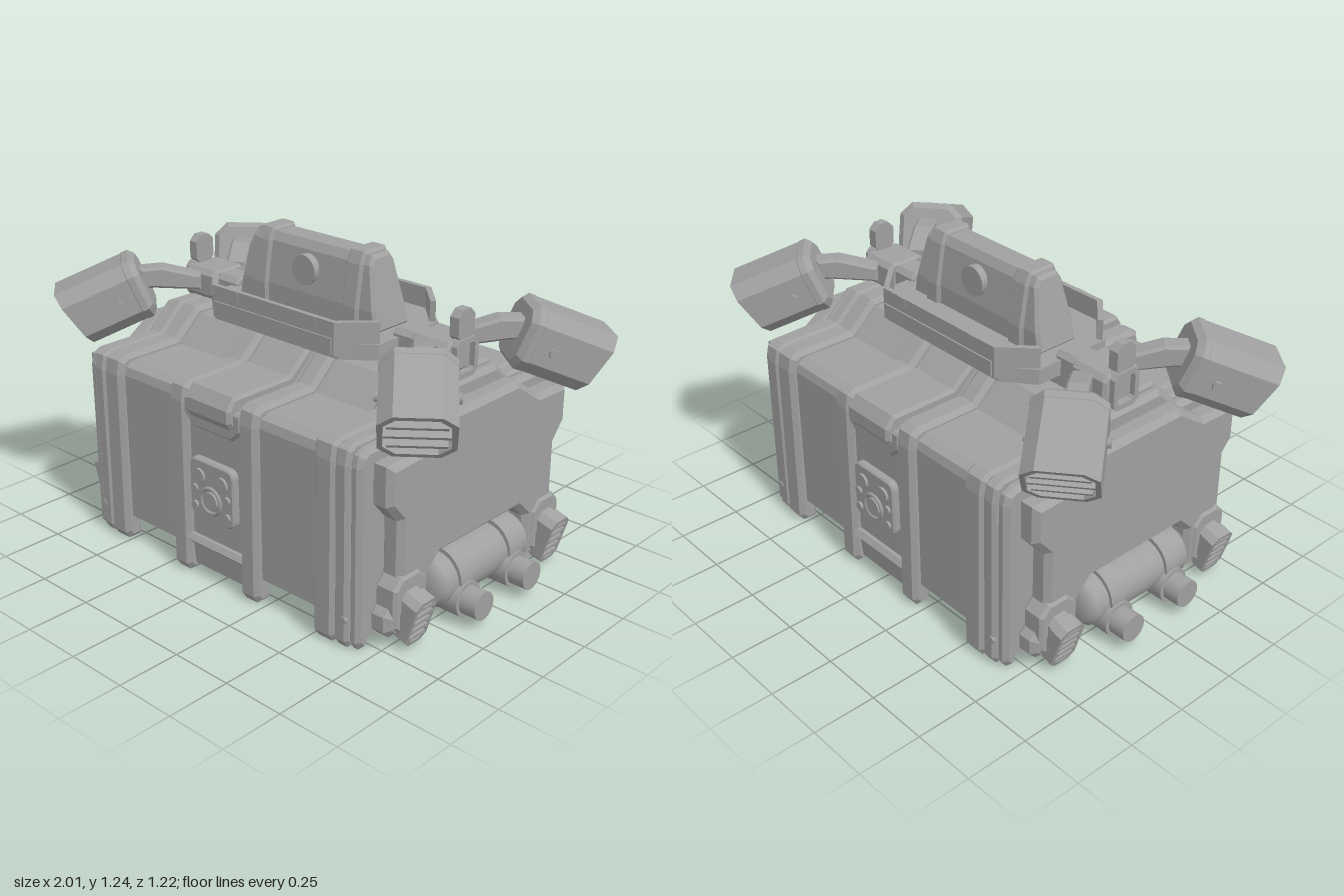
import * as THREE from 'three';

const grey = new THREE.MeshStandardMaterial({ color: 0xa0a0a0 });
grey.name = 'plain grey';

export function createModel() {
  const model = new THREE.Group();
  const add = (name, geo, parent = model) => {
    const m = new THREE.Mesh(geo, grey);
    m.name = name;
    parent.add(m);
    return m;
  };
  const points = (pts) => pts.map(([a, b]) => new THREE.Vector2(a, b));
  const toShape = (pts, ...holes) => {
    const s = new THREE.Shape(points(pts));
    s.holes = holes.map((h) => new THREE.Path(points(h)));
    return s;
  };
  const mirror = (half) => [...half, ...half.map(([a, b]) => [-a, b]).reverse()];
  // octagon with chamfer c, centred on (0, cy)
  const octagon = (w, h, c, cy = 0) => mirror([
    [w - c, cy - h], [w, cy - h + c], [w, cy + h - c], [w - c, cy + h]]);
  const extrude = (shape, depth, b = 0) => new THREE.ExtrudeGeometry(shape, {
    depth: depth - 2 * b, bevelEnabled: b > 0, bevelSize: b, bevelThickness: b,
    bevelOffset: -b, bevelSegments: 1, curveSegments: 6 }).translate(0, 0, b);
  // (z, y) outline pushed along x
  const prismX = (pts, xa, xb, b = 0) => extrude(toShape(pts), Math.abs(xb - xa), b)
    .rotateY(Math.PI / 2).translate(Math.min(xa, xb), 0, 0);
  // (x, z) outline pushed down from the height top
  const prismY = (shape, top, depth) => extrude(shape, depth).rotateX(Math.PI / 2).translate(0, top, 0);
  const box = (w, h, d, x, y, z) => new THREE.BoxGeometry(w, h, d).translate(x, y, z);
  const roundedRect = (P, x0, y0, x1, y1, r) => {
    const p = new P();
    p.moveTo(x0 + r, y0);
    p.lineTo(x1 - r, y0); p.quadraticCurveTo(x1, y0, x1, y0 + r);
    p.lineTo(x1, y1 - r); p.quadraticCurveTo(x1, y1, x1 - r, y1);
    p.lineTo(x0 + r, y1); p.quadraticCurveTo(x0, y1, x0, y1 - r);
    p.lineTo(x0, y0 + r); p.quadraticCurveTo(x0, y0, x0 + r, y0);
    return p;
  };
  const rect = (x, z) => [[-x, -z], [x, -z], [x, z], [-x, z]];

  // crate hull, with a skirt and four pockets in its underside
  const lid = (o) => [[0.56 + o, 0.7], [0.55 + o, 0.732 + o], [0.515 + o, 0.75 + o],
    [0.275 + o / 2, 0.75 + o], [0.165 + o / 2, 0.85 + o]];
  add('hull', prismX(mirror([[0.56, 0.34], ...lid(0)]), -0.64, 0.64));
  const base = toShape(rect(0.62, 0.56));
  for (const x of [-0.57, 0.06]) for (const z of [-0.5, 0.07])
    base.holes.push(roundedRect(THREE.Path, x, z, x + 0.51, z + 0.43, 0.09));
  add('hullBase', prismY(base, 0.35, 0.2));
  add('hullSkirt', prismY(toShape(rect(0.62, 0.56), rect(0.6, 0.52)), 0.16, 0.06));

  // ribs that wrap the hull and form the feet
  const foot = (o) => [[0.51, 0], [0.54 + o, 0], [0.56 + o, 0.03]];
  const rib = mirror([[0.51, 0.38], ...foot(0.03), ...lid(0.025)]);
  const rim = (o) => mirror([[0.51, 0.03], ...foot(o), ...lid(o)]);
  for (const s of [-1, 1]) {
    add('innerRib', prismX(rib, s * 0.135, s * 0.228, 0.018));
    add('outerRib', prismX(rib, s * 0.5, s * 0.602, 0.018));
    add('endRim', prismX(rim(0.024), s * 0.598, s * 0.66, 0.012));
    add('endRimStep', prismX(rim(0.01), s * 0.65, s * 0.705, 0.018));
  }

  // front and back: latch, badge, lower guard
  for (const s of [1, -1]) {
    const face = new THREE.Group();
    face.name = s > 0 ? 'frontFace' : 'backFace';
    face.rotation.y = s > 0 ? 0 : Math.PI;
    model.add(face);
    add('latch', prismX([[0.5, 0.66], [0.58, 0.66], [0.602, 0.69], [0.602, 0.74], [0.57, 0.785],
      [0.29, 0.785], [0.18, 0.875], [0.1, 0.875], [0.1, 0.7]], -0.115, 0.115, 0.012), face);
    add('latchFrame', extrude(toShape(mirror([[0.1, 0.615], [0.15, 0.66], [0.15, 0.73]])), 0.04, 0.01)
      .translate(0, 0, 0.54), face);
    add('badge', extrude(roundedRect(THREE.Shape, -0.115, 0.265, 0.115, 0.5, 0.035), 0.045, 0.006)
      .translate(0, 0, 0.545), face);
    const stud = (x, y, r) => add('badgeStud', new THREE.CylinderGeometry(r, r, 0.03, 24)
      .rotateX(Math.PI / 2).translate(x, y, 0.585), face);
    stud(0, 0.35, 0.036);
    add('badgeRing', new THREE.TorusGeometry(0.05, 0.008, 6, 28).translate(0, 0.35, 0.592), face);
    for (const k of [-1, 1]) {
      stud(k * 0.06, 0.435, 0.03);
      stud(k * 0.085, 0.38, 0.016);
      stud(k * 0.085, 0.31, 0.016);
      add('rimBolt', new THREE.CylinderGeometry(0.015, 0.015, 0.02, 12).rotateX(Math.PI / 2)
        .translate(k * 0.645, 0.115, 0.578), face);
    }
    add('lowerGuard', prismX([[0.51, 0.03], [0.555, 0.03], [0.565, 0.12], [0.59, 0.145],
      [0.575, 0.165], [0.51, 0.165]], -0.145, 0.145), face);
  }

  // raised end panels, cut out around the tanks
  const panel = mirror([[0.23, 0.285], [0.285, 0.23], [0.285, 0.05], [0.48, 0.05], [0.51, 0.08],
    [0.51, 0.14], [0.45, 0.2], [0.45, 0.49], [0.51, 0.56], [0.51, 0.71], [0.33, 0.715], [0.2, 0.805]]);
  for (const s of [1, -1]) {
    const end = new THREE.Group();
    end.name = s > 0 ? 'leftEnd' : 'rightEnd';
    end.rotation.y = s > 0 ? 0 : Math.PI;
    model.add(end);
    add('endPanel', prismX(panel, 0.69, 0.785, 0.022), end);
    // tank with chamfered ends, bands and pegs
    const tank = [[0, -0.27], [0.07, -0.27], [0.1, -0.235], [0.1, 0.235], [0.07, 0.27], [0, 0.27]];
    add('tank', new THREE.LatheGeometry(points(tank), 24)
      .rotateX(Math.PI / 2).translate(0.73, 0.155, 0), end);
    for (const z of [-0.145, 0.145]) {
      add('tankBand', new THREE.CylinderGeometry(0.112, 0.112, 0.065, 24).rotateX(Math.PI / 2)
        .translate(0.73, 0.16, z), end);
      add('pegCollar', new THREE.CylinderGeometry(0.07, 0.07, 0.1, 24).rotateZ(Math.PI / 2)
        .translate(0.8, 0.09, z), end);
      add('peg', new THREE.CylinderGeometry(0.055, 0.055, 0.1, 24).rotateZ(Math.PI / 2)
        .translate(0.87, 0.09, z), end);
    }
    // louvred corner vents, leaning outward at the top
    for (const z of [-0.4, 0.4]) {
      add('ventHousing', prismX(octagon(0.085, 0.115, 0.04, 0.165), 0.7, 0.795, 0.012)
        .translate(0, 0, z), end);
      const vent = new THREE.Group();
      vent.name = 'vent';
      vent.position.set(0.79, 0.125, z);
      vent.rotation.z = -0.3;
      end.add(vent);
      const ring = toShape(octagon(0.058, 0.1, 0.025), octagon(0.042, 0.085, 0.02));
      add('ventFrame', extrude(ring, 0.055).rotateY(Math.PI / 2), vent);
      add('ventBack', prismX(octagon(0.052, 0.095, 0.025), -0.04, 0.02), vent);
      for (let i = -2; i <= 2; i++)
        add('ventSlat', new THREE.BoxGeometry(0.045, 0.014, 0.088).rotateZ(0.2)
          .translate(0.035, i * 0.034, 0), vent);
    }
  }

  // roof tray: octagonal plate and bent side rails
  const plate = [[0.43, 0.165], [0.315, 0.255], [-0.315, 0.255], [-0.43, 0.165],
    [-0.43, -0.165], [-0.315, -0.255], [0.315, -0.255], [0.43, -0.165]];
  add('trayPlate', prismY(toShape(plate), 0.955, 0.06));
  const rail = [[0.425, 0.155], [0.31, 0.27], [-0.31, 0.27], [-0.425, 0.155],
    [-0.405, 0.145], [-0.3, 0.25], [0.3, 0.25], [0.405, 0.145]];
  for (const s of [-1, 1]) {
    add('trayRail', prismY(toShape(rail.map(([x, z]) => [x, s * z])), 1.035, 0.125));
    add('trayRailTrim', box(0.6, 0.06, 0.012, 0, 0.945, s * 0.27));
    for (const x of [-0.2, 0.2]) add('railClip', box(0.05, 0.03, 0.02, x, 1.02, s * 0.262));
  }

  // tapered roof box with two straps and round buttons
  const roof = (o) => mirror([[0.09 + o, 0.95], [0.09 + o, 1.03], [0.065 + o, 1.19],
    [0.045 + o, 1.222 + o]]);
  const roofBox = prismX(roof(0), -0.345, 0.345, 0.012);
  const rp = roofBox.attributes.position;
  for (let i = 0; i < rp.count; i++) rp.setX(i, rp.getX(i) * (1 - 0.65 * (rp.getY(i) - 1)));
  roofBox.computeVertexNormals();
  add('roofBox', roofBox);
  for (const s of [-1, 1])
    add('roofStrap', prismX(roof(0.013), s * 0.19, s * 0.268, 0.01));
  add('roofButton', new THREE.CylinderGeometry(0.058, 0.058, 0.2, 24).rotateX(Math.PI / 2)
    .translate(0, 1.12, 0));

  // lamp carriers at both ends of the tray
  for (const s of [-1, 1]) {
    add('carrierBeam', prismX(octagon(0.06, 0.06, 0.02, 0.925), s * 0.4, s * 0.52, 0.008));
    add('carrierClamp', prismX(octagon(0.088, 0.06, 0.02, 0.935), s * 0.505, s * 0.67, 0.01));
    const support = [[0.25, 0.845], [0.31, 0.905], [0.63, 0.905], [0.66, 0.845]];
    add('carrierFoot', extrude(toShape(support.map(([x, y]) => [s * x, y])), 0.12).translate(0, 0, -0.06));
    const eye = toShape(octagon(0.062, 0.073, 0.02, 0.928), octagon(0.042, 0.052, 0.01, 0.928));
    add('carrierEye', extrude(eye, 0.035).rotateY(Math.PI / 2).translate(s * 0.675 - 0.0175, 0, 0));
    add('carrierTab', prismX(octagon(0.045, 0.06, 0.025, 1.047), s * 0.645, s * 0.685));
  }

  // corner lamps: octagonal shell with a slightly slanted visor, louvres and arm
  const slant = (geo) => {
    const p = geo.attributes.position;
    for (let i = 0; i < p.count; i++)
      if (p.getZ(i) > 0.2) p.setZ(i, p.getZ(i) + 0.22 * p.getY(i));
    geo.computeVertexNormals();
    return geo;
  };
  const outer = octagon(0.13, 0.12, 0.05);
  for (const sx of [-1, 1]) for (const sz of [-1, 1]) {
    const yaw = Math.atan2(sx * 0.63, sz * 0.776);
    const lamp = new THREE.Group();
    lamp.name = 'cornerLamp';
    lamp.position.set(sx * 0.715, 0.955, sz * 0.295);
    lamp.rotation.set(0.4, yaw, 0, 'YXZ');
    model.add(lamp);
    add('lampShell', slant(extrude(toShape(outer, octagon(0.112, 0.102, 0.042)), 0.22)
      .translate(0, 0, 0.06)), lamp);
    add('lampBack', extrude(toShape(outer), 0.12), lamp);
    add('lampRearCap', extrude(toShape(octagon(0.132, 0.122, 0.05)), 0.07, 0.022).translate(0, 0, -0.03), lamp);
    add('lampInner', slant(extrude(toShape(octagon(0.115, 0.105, 0.045)), 0.15).translate(0, 0, 0.07)), lamp);
    for (let i = -1; i <= 1; i++)
      add('lampSlat', new THREE.BoxGeometry(0.22 - Math.abs(i) * 0.02, 0.014, 0.06).rotateX(0.25)
        .translate(0, i * 0.055, 0.245 + i * 0.012), lamp);
    add('lampBolt', new THREE.CylinderGeometry(0.02, 0.02, 0.29, 6).rotateZ(Math.PI / 2)
      .translate(0, -0.01, 0.09), lamp);
    // arm from the carrier to the back of the lamp
    const arm = add('lampArm', extrude(toShape([[-0.12, -0.05], [0.06, -0.035], [0.12, -0.035],
      [0.12, 0.045], [0.03, 0.05], [-0.12, 0.01]]), 0.08, 0.01)
      .translate(0, 0, -0.04).rotateY(-Math.PI / 2));
    arm.position.set(sx * 0.645, 0.975, sz * 0.19);
    arm.rotation.y = yaw;
  }
  return model;
}
